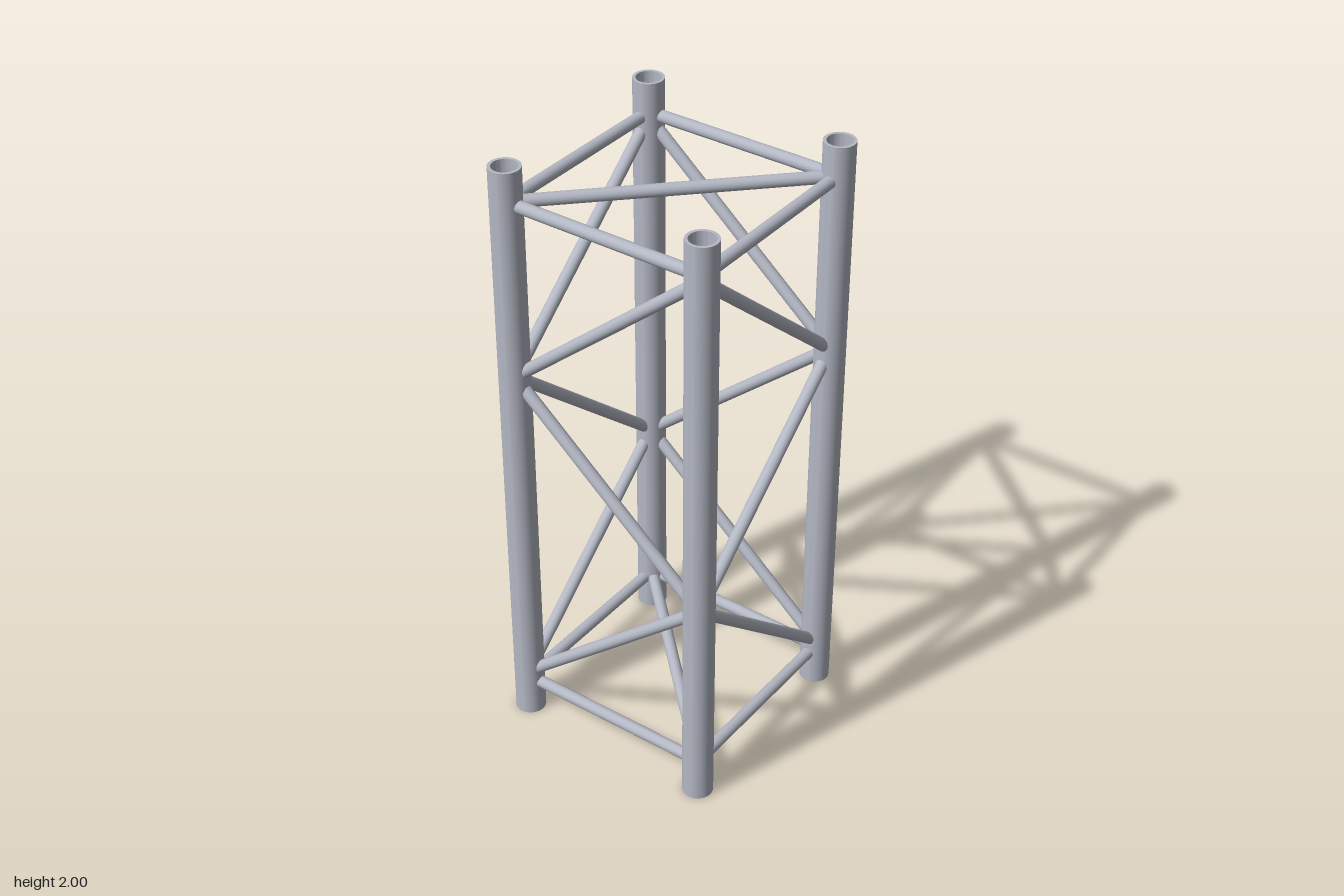
import * as THREE from 'three';
import { toCreasedNormals } from 'three/addons/utils/BufferGeometryUtils.js';

const C = 0.336;        // distance of the chord axes from the centre
const HEIGHT = 2;
const R_OUT = 0.049, R_IN = 0.039, R_BAR = 0.0195;
const Y_TOP = 1.885, Y_BOTTOM = 0.118;
const NODES = [1.868, 1.296, 0.72, 0.143]; // heights where the lacing meets the chords

export function createModel() {
  const model = new THREE.Group();
  model.name = 'squareTruss';
  const metal = new THREE.MeshStandardMaterial({ color: 0xb4b8c4 });
  metal.name = 'aluminium';

  // Round bar between two points, lengthened by extra at each end
  function bar(name, a, b, extra = 0) {
    const dir = b.clone().sub(a);
    const geo = new THREE.CylinderGeometry(R_BAR, R_BAR, dir.length() + 2 * extra, 20);
    const mesh = new THREE.Mesh(geo, metal);
    mesh.name = name;
    mesh.position.copy(a).add(b).multiplyScalar(0.5);
    mesh.quaternion.setFromUnitVectors(new THREE.Vector3(0, 1, 0), dir.normalize());
    model.add(mesh);
  }

  // Corners in order round the square: front left, front right, back right, back left
  const corners = [[C, C], [-C, C], [-C, -C], [C, -C]];
  const at = (i, y) => new THREE.Vector3(corners[i % 4][0], y, corners[i % 4][1]);
  const faces = ['front', 'right', 'back', 'left'];

  // Hollow chords, open at both ends
  const profile = [
    [R_OUT, 0], [R_OUT, HEIGHT], [R_IN, HEIGHT], [R_IN, 0], [R_OUT, 0],
  ].map(([x, y]) => new THREE.Vector2(x, y));
  const tube = toCreasedNormals(new THREE.LatheGeometry(profile, 40), 0.6);
  for (let i = 0; i < 4; i++) {
    const chord = new THREE.Mesh(tube, metal);
    chord.name = 'chord' + (i + 1);
    chord.position.copy(at(i, 0));
    model.add(chord);
  }

  faces.forEach((face, i) => {
    // Level bars near both ends of each face
    bar(face + 'TopBar', at(i, Y_TOP), at(i + 1, Y_TOP), 0.02);
    bar(face + 'BottomBar', at(i, Y_BOTTOM), at(i + 1, Y_BOTTOM), 0.02);
    // Zigzag lacing, which starts at the top of every second chord
    for (let k = 0; k < 3; k++) {
      const start = (i + k) % 2 ? i : i + 1;
      const end = start === i ? i + 1 : i;
      bar(face + 'Lacing' + (k + 1), at(start, NODES[k]), at(end, NODES[k + 1]));
    }
  });

  // Diagonals across the inside, crossing each other in plan
  bar('topCrossBar', at(0, Y_TOP), at(2, Y_TOP));
  bar('bottomCrossBar', at(1, Y_BOTTOM), at(3, Y_BOTTOM));

  return model;
}
